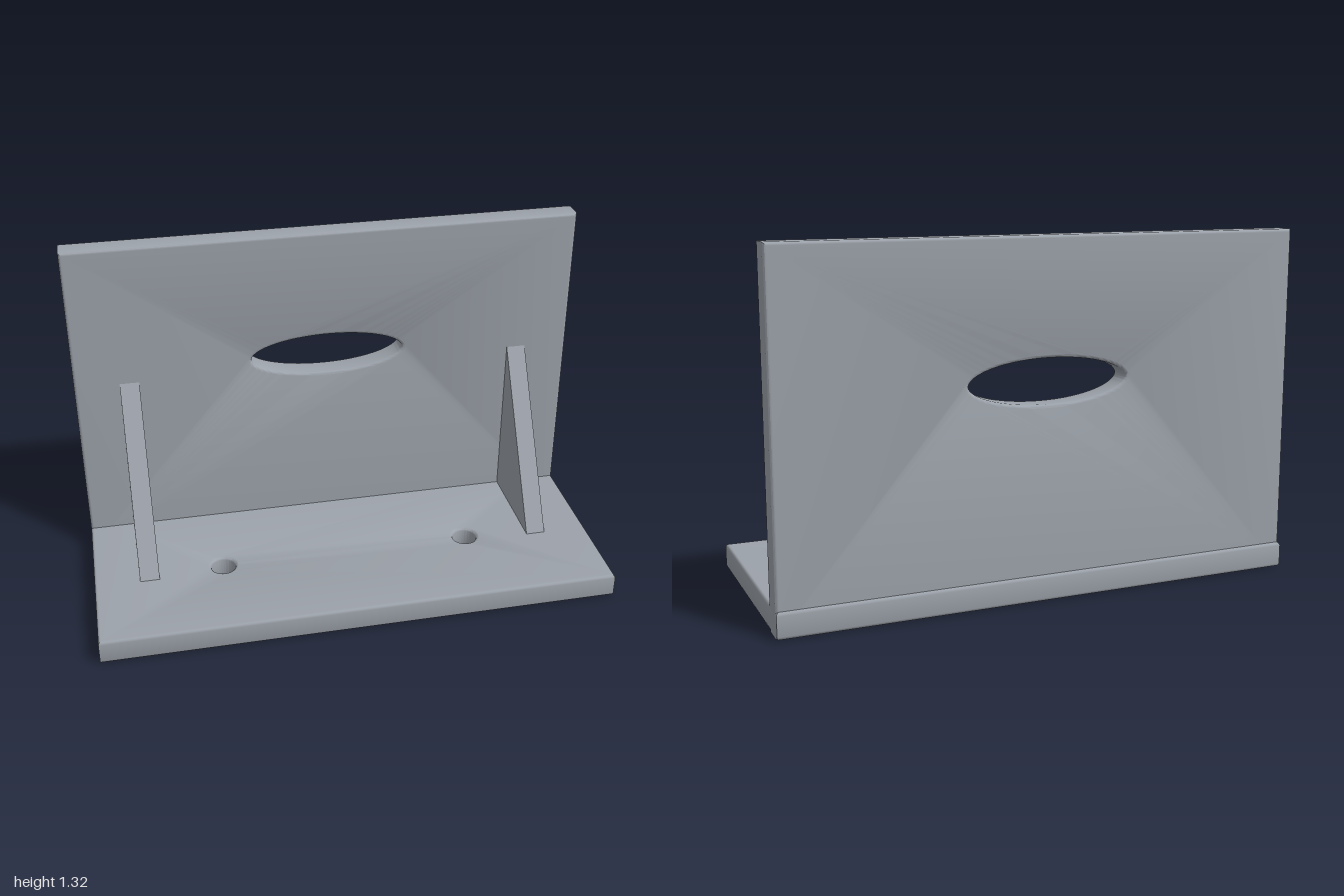
import * as THREE from 'three';
import { toCreasedNormals } from 'three/addons/utils/BufferGeometryUtils.js';

const BEVEL = 0.012;

// Rectangular plate with softened edges and elliptical holes [x, y, rx, ry];
// it lies in the xy plane and fills z = 0..thickness.
function plateGeometry(width, height, thickness, holes) {
  const w = width / 2 - BEVEL, h = height / 2 - BEVEL;
  const shape = new THREE.Shape();
  shape.moveTo(-w, -h).lineTo(w, -h).lineTo(w, h).lineTo(-w, h).closePath();
  for (const [x, y, rx, ry] of holes) {
    // the bevel narrows each hole, so start it wider
    const hole = new THREE.Path();
    hole.absellipse(x, y, rx + BEVEL, ry + BEVEL, 0, Math.PI * 2, true);
    shape.holes.push(hole);
  }
  const geometry = new THREE.ExtrudeGeometry(shape, {
    depth: thickness - 2 * BEVEL, curveSegments: 48,
    bevelEnabled: true, bevelSize: BEVEL, bevelThickness: BEVEL, bevelSegments: 3,
  });
  geometry.translate(0, 0, BEVEL);
  return toCreasedNormals(geometry, 0.6);
}

export function createModel() {
  const steel = new THREE.MeshStandardMaterial({ color: 0x9ca2aa });
  steel.name = 'steel grey';
  const model = new THREE.Group();
  model.name = 'angleBracket';

  function add(name, geometry) {
    const mesh = new THREE.Mesh(geometry, steel);
    mesh.name = name;
    model.add(mesh);
    return mesh;
  }

  // base plate with two bolt holes
  const base = plateGeometry(2, 0.845, 0.097, [-0.495, 0.495].map((x) => [x, -0.045, 0.048, 0.048]));
  base.rotateX(-Math.PI / 2);
  add('basePlate', base);

  // upright plate with an oval opening
  const wall = plateGeometry(2, 1.317, 0.097, [[0, 0.805 - 0.6585, 0.305, 0.083]]);
  wall.translate(0, 0.6585, -0.411);
  add('uprightPlate', wall);

  // triangular gussets: profile drawn as (z, y), then turned to run along x
  const profile = new THREE.Shape();
  profile.moveTo(-0.325, 0.09).lineTo(0.091, 0.09).lineTo(-0.314, 0.757).lineTo(-0.325, 0.757).closePath();
  const gusset = new THREE.ExtrudeGeometry(profile, { depth: 0.076, bevelEnabled: false });
  gusset.translate(0, 0, -0.038).rotateY(-Math.PI / 2);
  for (const [name, side] of [['leftGusset', 1], ['rightGusset', -1]]) {
    add(name, gusset).position.x = side * 0.787;
  }

  return model;
}
